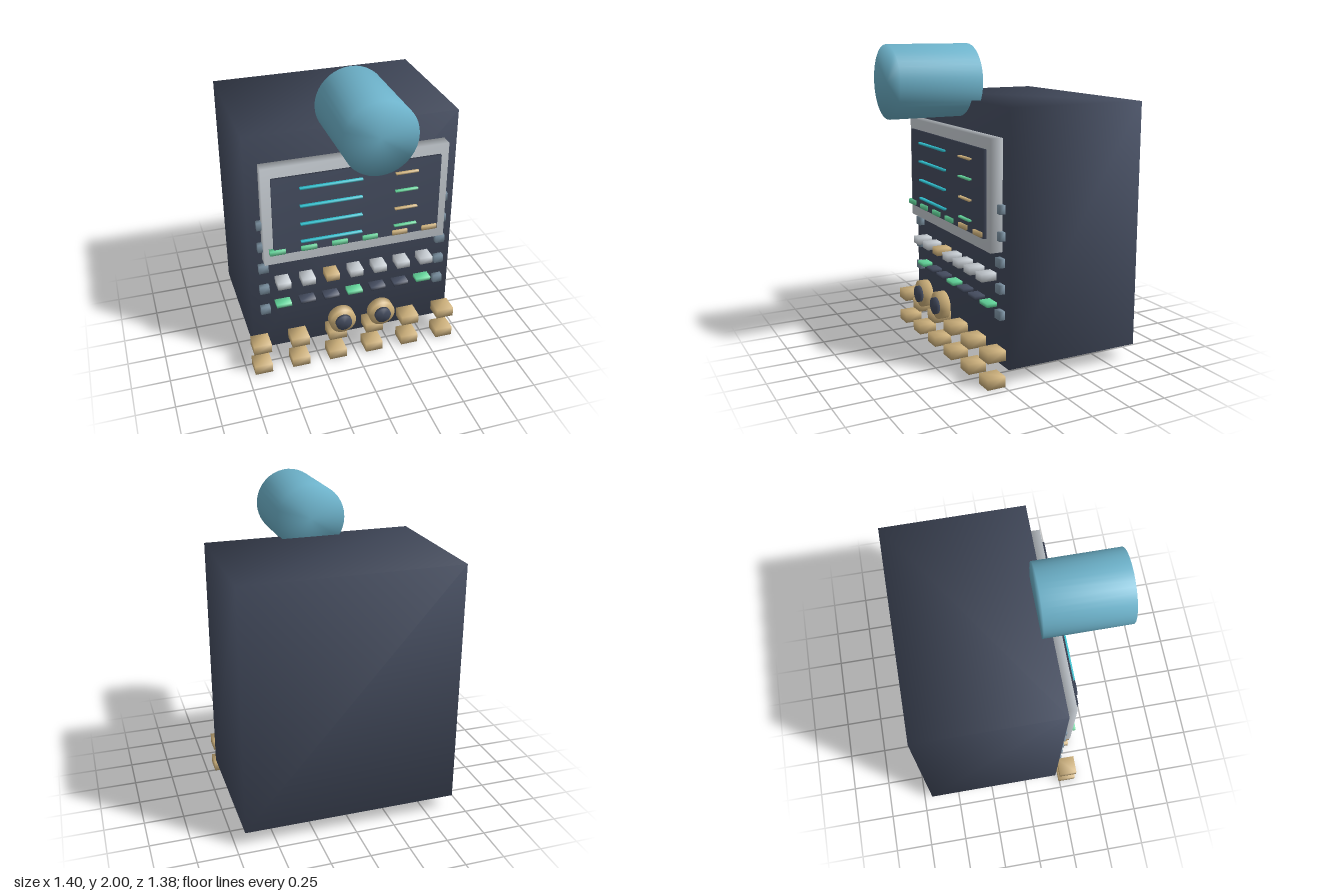
import * as THREE from 'three';
import { mergeVertices } from 'three/addons/utils/BufferGeometryUtils.js';

const paint = (name, color) => {
  const m = new THREE.MeshStandardMaterial({ color });
  m.name = name;
  return m;
};

// Shared corners give the soft, rounded shading across edges
function soften(geometry) {
  geometry.deleteAttribute('uv');
  geometry.deleteAttribute('normal');
  const g = mergeVertices(geometry, 1e-5);
  g.computeVertexNormals();
  return g;
}

export function createModel() {
  const model = new THREE.Group();
  model.name = 'controlConsole';

  const slate = paint('slate', 0x454d60);
  const silver = paint('silver', 0xc8ced4);
  const blue = paint('softBlue', 0x6db2ca);
  const brass = paint('brass', 0xcfb27c);
  const green = paint('mintGreen', 0x62d49a);
  const cyan = paint('cyan', 0x2fc0cf);
  const steel = paint('steel', 0x7f95a6);

  const add = (name, geometry, material, x, y, z, parent = model) => {
    const mesh = new THREE.Mesh(soften(geometry), material);
    mesh.name = name;
    mesh.position.set(x, y, z);
    parent.add(mesh);
    return mesh;
  };
  // Box given by centre x and y, width, height and its z range
  const box = (name, material, x, y, w, h, z0, z1, parent) =>
    add(name, new THREE.BoxGeometry(w, h, z1 - z0), material, x, y, (z0 + z1) / 2, parent);
  // Cylinder lying along z
  const drum = (name, material, x, y, r, z0, z1, parent) =>
    add(name, new THREE.CylinderGeometry(r, r, z1 - z0, 40).rotateX(Math.PI / 2),
      material, x, y, (z0 + z1) / 2, parent);
  const group = (name) => {
    const g = new THREE.Group();
    g.name = name;
    model.add(g);
    return g;
  };

  // Cabinet, bezel and screen
  box('cabinet', slate, 0.009, 0.88, 1.368, 1.56, -0.69, 0.22);
  box('bezel', silver, 0.009, 1.144, 1.198, 0.674, 0.215, 0.298);
  box('screen', slate, 0.01, 1.149, 1.085, 0.529, 0.29, 0.318);

  // Drum on top, overhanging the front
  drum('topDrum', blue, 0.011, 1.775, 0.225, 0.156, 0.69);

  // Readout lines on the screen
  const readouts = group('readouts');
  [1.336, 1.213, 1.086, 0.961].forEach((y, i) => {
    box('longLine', cyan, -0.164, y, 0.396, 0.013, 0.316, 0.338, readouts);
    box('shortLine', i % 2 ? green : brass, 0.324, y, 0.147, 0.012, 0.316, 0.338, readouts);
  });

  // Soft keys along the lower edge of the screen
  const softKeys = group('softKeys');
  for (let i = 0; i < 6; i++) {
    box('softKey', i < 4 ? green : brass, -0.511 + i * 0.2005, 0.907, 0.1, 0.03, 0.295, 0.333, softKeys);
  }

  // Two rows of keys below the screen
  const keys = group('keyRows');
  for (let i = 0; i < 7; i++) {
    const x = -0.473 + i * 0.161;
    box('key', i === 2 ? brass : silver, x, 0.638, 0.086, 0.047, 0.22, 0.32, keys);
    box('indicatorKey', i % 3 ? slate : green, x, 0.464, 0.1, 0.024, 0.22, 0.288, keys);
  }

  // Side buttons in two columns
  const sideButtons = group('sideButtons');
  for (const x of [-0.59, 0.611]) {
    for (let i = 0; i < 5; i++) {
      box('sideButton', steel, x, 1.068 - i * 0.1607, 0.062, 0.054, 0.22, 0.256, sideButtons);
    }
  }

  // Pair of knobs
  const knobs = group('knobs');
  for (const x of [-0.124, 0.143]) {
    drum('knobRing', brass, x, 0.371, 0.087, 0.384, 0.442, knobs);
    drum('knobCap', slate, x, 0.371, 0.053, 0.442, 0.465, knobs);
  }

  // Two rows of brass connectors at the bottom
  const connectors = group('connectors');
  for (let i = 0; i < 6; i++) {
    for (const y of [0.199, 0.033]) {
      box('connector', brass, -0.645 + i * 0.2565, y, 0.118, 0.066, 0.243, 0.362, connectors);
    }
  }

  // Flat feet under the cabinet
  const feet = group('feet');
  for (let i = 0; i < 4; i++) {
    box('foot', slate, -0.459 + i * 0.3085, 0.091, 0.225, 0.022, -0.646, -0.246, feet);
  }

  return model;
}
